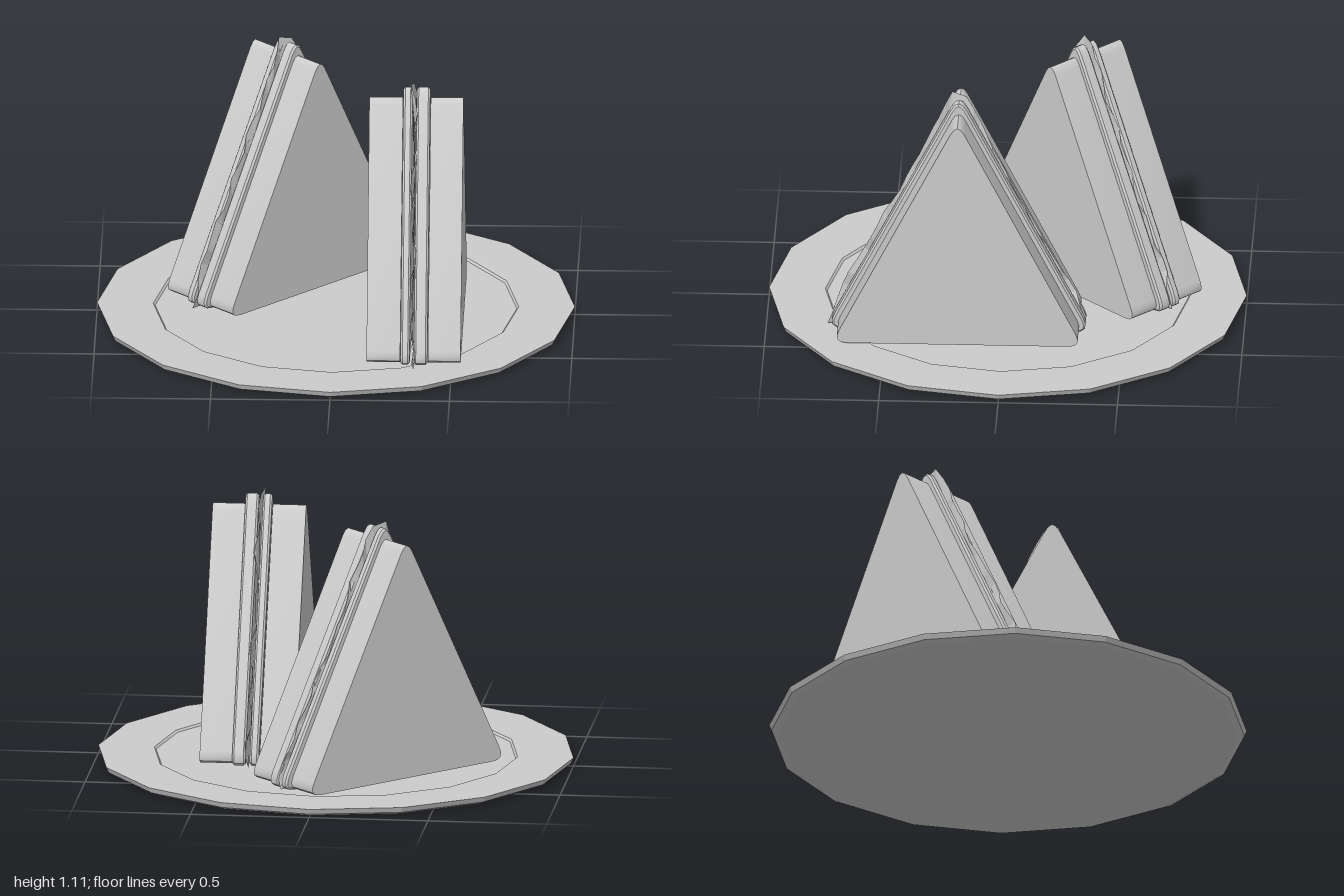
import * as THREE from 'three';
import { toCreasedNormals } from 'three/addons/utils/BufferGeometryUtils.js';

const grey = new THREE.MeshStandardMaterial({ color: 0xcccccc });
const thin = new THREE.MeshStandardMaterial({ color: 0xcccccc, side: THREE.DoubleSide, flatShading: true });

function add(parent, name, geometry, material = grey) {
  const mesh = new THREE.Mesh(geometry, material);
  mesh.name = name;
  parent.add(mesh);
  return mesh;
}

// Triangle with each corner cut back by r and rounded
function roundedTriangle(half, base, apex, r) {
  const corners = [[-half, base], [half, base], [0, apex]].map(([x, y]) => new THREE.Vector2(x, y));
  const toward = (a, b) => a.clone().add(b.clone().sub(a).setLength(r));
  const shape = new THREE.Shape();
  corners.forEach((c, i) => {
    const start = toward(c, corners[(i + 2) % 3]);
    const end = toward(c, corners[(i + 1) % 3]);
    if (i === 0) shape.moveTo(start.x, start.y);
    else shape.lineTo(start.x, start.y);
    shape.quadraticCurveTo(c.x, c.y, end.x, end.y);
  });
  shape.closePath();
  return shape;
}

// Triangular layer standing upright, spanning x0..x1 in thickness
function layer(shape, x0, x1, bevel = 0) {
  const g = new THREE.ExtrudeGeometry(shape, {
    depth: x1 - x0 - 2 * bevel, curveSegments: 4, bevelEnabled: bevel > 0,
    bevelThickness: bevel, bevelSize: bevel, bevelOffset: -bevel, bevelSegments: 1,
  });
  g.rotateY(Math.PI / 2).translate(x0 + bevel, 0, 0);
  return toCreasedNormals(g, 0.6);
}

// Crinkled leaf: rings of an uneven triangular outline, waving more towards the rim
function leaf() {
  const outline = new THREE.Shape([
    [0.55, 0.04], [0.47, 0.27], [0.41, 0.36], [0.31, 0.57], [0.26, 0.64], [0.14, 0.89], [0.035, 1.115],
    [-0.04, 1.095], [-0.19, 0.76], [-0.26, 0.61], [-0.39, 0.37], [-0.49, 0.2], [-0.52, 0.1], [-0.545, 0.04],
  ].map(([z, y]) => new THREE.Vector2(z, y)));
  outline.closePath();
  const n = 56, rings = [1, 0.93, 0.86, 0];
  const rim = outline.getSpacedPoints(n).slice(0, n);
  const pos = [], index = [];
  rings.forEach((s, k) => rim.forEach((p, i) => {
    const wave = Math.sin(i * 1.9) + 0.6 * Math.sin(i * 0.83 + 1);
    const x = -0.006 + wave * [0.011, 0.007, 0.002, 0][k];
    pos.push(x, 0.04 + (p.y - 0.04) * s, p.x * s);
    if (k > 0) {
      const j = (i + 1) % n, a = (k - 1) * n, b = k * n;
      index.push(a + i, a + j, b + i, a + j, b + j, b + i);
    }
  }));
  const g = new THREE.BufferGeometry();
  g.setAttribute('position', new THREE.Float32BufferAttribute(pos, 3));
  g.setIndex(index);
  g.computeVertexNormals();
  return g;
}

function sandwich(name) {
  const group = new THREE.Group();
  group.name = name;
  const bread = roundedTriangle(0.525, 0.043, 1.075, 0.065);
  const filling = roundedTriangle(0.555, 0.04, 1.125, 0.075);
  add(group, 'breadSliceLeft', layer(bread, 0.06, 0.197));
  add(group, 'breadSliceRight', layer(bread, -0.197, -0.056));
  add(group, 'thickFilling', layer(filling, 0.002, 0.058, 0.008));
  add(group, 'thinFilling', layer(filling, -0.054, -0.016, 0.008));
  add(group, 'lettuce', leaf(), thin);
  return group;
}

export function createModel() {
  const model = new THREE.Group();
  model.name = 'sandwichPlate';

  // Sixteen-sided plate with a shallow well
  const profile = [[0, 0], [0.965, 0], [0.99, 0.012], [1, 0.035], [0.82, 0.035], [0.765, 0.033], [0.757, 0.024], [0, 0.024]]
    .map(([r, y]) => new THREE.Vector2(r, y));
  const plate = new THREE.LatheGeometry(profile, 16);
  add(model, 'plate', toCreasedNormals(plate, 0.35));

  const front = sandwich('frontSandwich');
  front.position.set(0.342, 0, 0.19);
  const back = sandwich('backSandwich');
  back.position.set(-0.21, 0, -0.315);
  back.rotation.y = -Math.PI / 4;
  model.add(front, back);
  return model;
}
